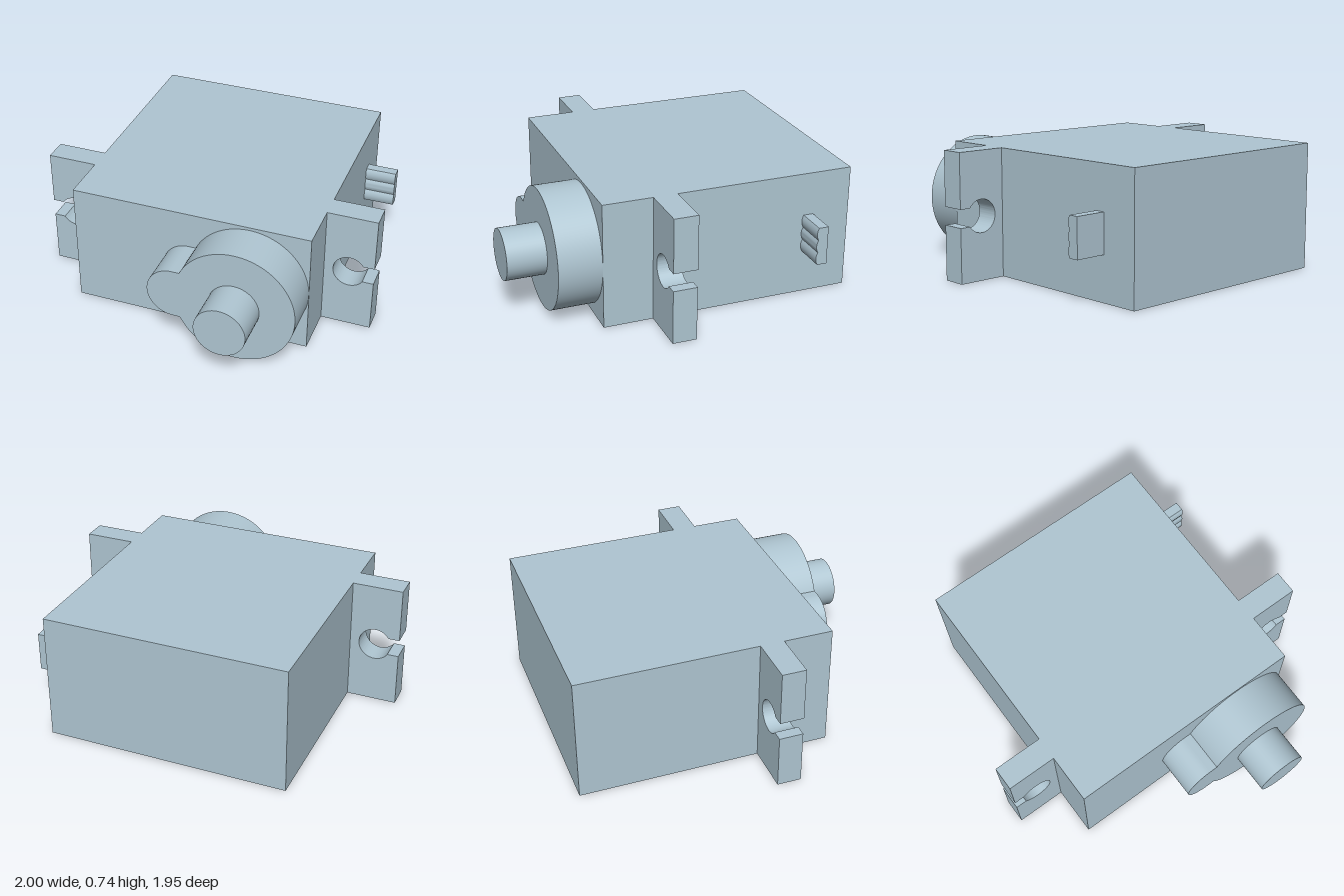
import * as THREE from 'three';
import { toCreasedNormals } from 'three/addons/utils/BufferGeometryUtils.js';

const W = 0.707, H = 0.737, MID = H / 2;
const BACK = -0.978, FRONT = 0.502;

export function createModel() {
  const model = new THREE.Group();
  model.name = 'servoMotor';
  const plastic = new THREE.MeshStandardMaterial({ color: 0xafc6d2 });
  plastic.name = 'paleBluePlastic';

  const add = (name, geometry) => {
    const mesh = new THREE.Mesh(geometry, plastic);
    mesh.name = name;
    model.add(mesh);
    return mesh;
  };
  // Extrude along z, smooth on curves and sharp at corners
  const extrude = (shape, depth) => toCreasedNormals(
    new THREE.ExtrudeGeometry(shape, { depth, bevelEnabled: false, curveSegments: 48 }), 0.5);

  // Case
  add('case', new THREE.BoxGeometry(W * 2, H, FRONT - BACK))
    .position.set(0, MID, (FRONT + BACK) / 2);

  // Mounting ears with an open keyhole slot
  const holeX = 0.855, holeR = 0.095, slot = 0.052;
  const a = Math.asin(slot / holeR);
  const ear = new THREE.Shape();
  ear.moveTo(W, -MID);
  ear.lineTo(1, -MID);
  ear.lineTo(1, -slot);
  ear.lineTo(holeX + holeR * Math.cos(a), -slot);
  ear.absarc(holeX, 0, holeR, -a, a, true);
  ear.lineTo(1, slot);
  ear.lineTo(1, MID);
  ear.lineTo(W, MID);
  ear.closePath();
  const earGeometry = extrude(ear, 0.14);
  ['leftEar', 'rightEar'].forEach((name, i) => {
    const mesh = add(name, earGeometry);
    mesh.position.set(0, MID, 0.073);
    mesh.rotation.z = i * Math.PI;
  });

  // Gear housing: a large disc merged with a small lobe
  const gearX = 0.355, gearR = 0.351, lobeX = -0.005, lobeR = 0.152;
  const b = Math.asin(lobeR / gearR);
  const housing = new THREE.Shape();
  housing.absarc(gearX, 0, gearR, -Math.PI + b, Math.PI - b, false);
  housing.lineTo(lobeX, lobeR);
  housing.absarc(lobeX, 0, lobeR, Math.PI / 2, Math.PI * 1.5, false);
  housing.closePath();
  add('gearHousing', extrude(housing, 0.25)).position.set(0, MID, FRONT - 0.001);

  // Output shaft
  const shaft = add('outputShaft', new THREE.CylinderGeometry(0.148, 0.148, 0.227, 48));
  shaft.rotation.x = Math.PI / 2;
  shaft.position.set(gearX, MID, 0.8635);

  // Ribbon cable stub: flat at the back, three wire ridges at the front
  const cable = new THREE.Shape();
  const low = -0.113, pitch = 0.226 / 3;
  cable.moveTo(-0.755, low);
  cable.lineTo(-0.697, low);
  for (let i = 0; i < 3; i++) {
    const y = low + pitch * i;
    cable.quadraticCurveTo(-0.677, y + pitch / 2, -0.697, y + pitch);
  }
  cable.lineTo(-0.755, -low);
  cable.closePath();
  const cableGeometry = toCreasedNormals(
    new THREE.ExtrudeGeometry(cable, { depth: 0.185, bevelEnabled: false, curveSegments: 8 }), 0.5);
  // Turn the profile so its x becomes z and the depth runs along x
  cableGeometry.rotateY(-Math.PI / 2);
  cableGeometry.translate(0.892, MID + 0.002, 0);
  add('cableStub', cableGeometry);

  return model;
}
